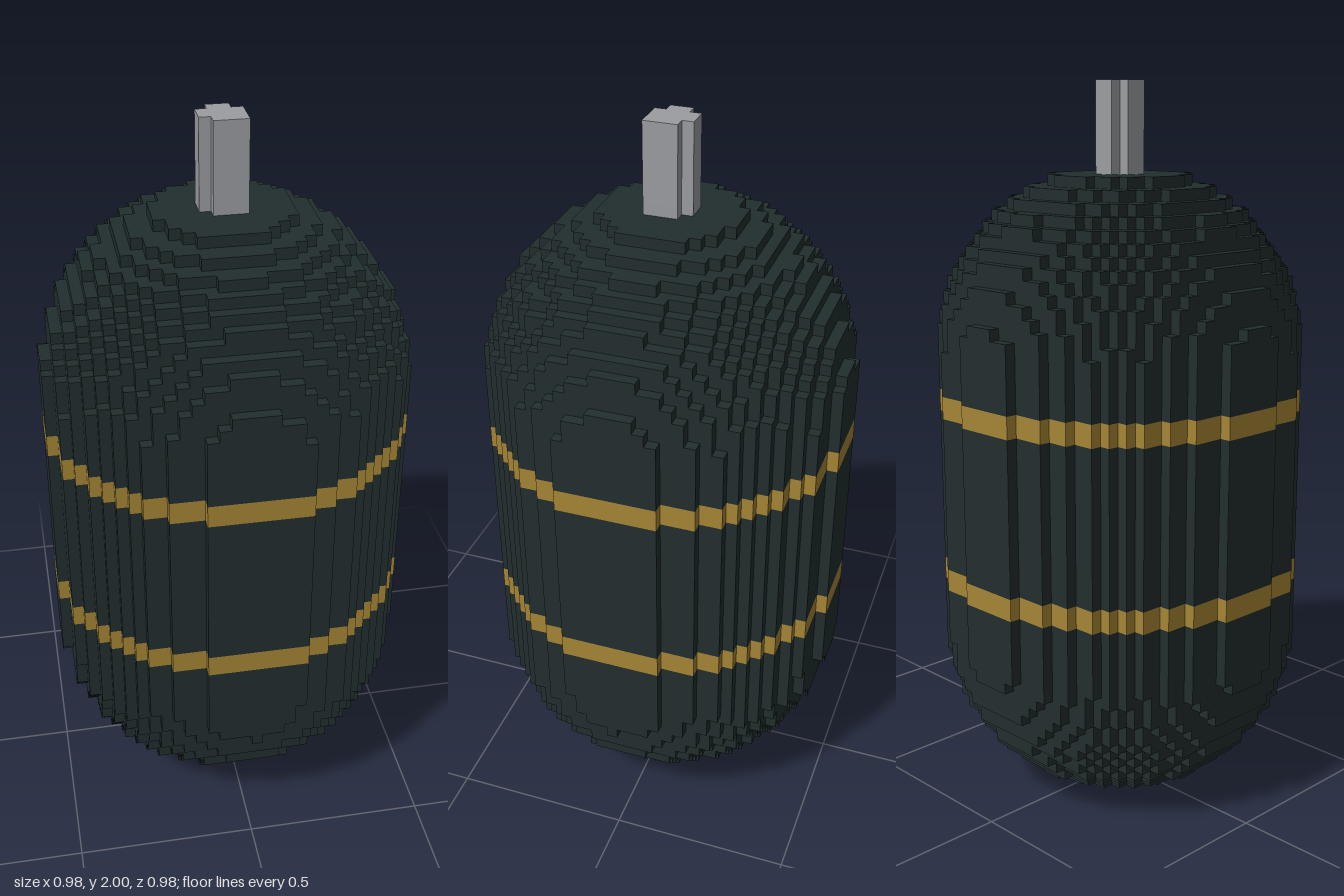
import * as THREE from 'three';

const U = 2 / 65;          // voxel size
const C = 0.15;            // axis offset of the rounded body, in voxels
const BODY_TOP = 57, PEG_TOP = 65;
const LOW = 15.9, HIGH = 41.7, R2 = 255.2; // centres of the domed ends, radius squared

// Which part fills voxel (x, y, z), or null if empty
function partAt(x, y, z) {
  const dx = x + 0.5 - C, dz = z + 0.5 - C, cy = y + 0.5;
  const r2 = dx * dx + dz * dz;
  if (y < 0 || y >= PEG_TOP) return null;
  if (y >= BODY_TOP) return r2 < 4 ? 'topPeg' : null;
  const dy = Math.max(LOW - cy, cy - HIGH, 0);
  if (r2 + dy * dy > R2) return null;
  if (y >= 20 && y < 22) return 'lowerBand';
  if (y >= 36 && y < 38) return 'upperBand';
  return 'capsuleBody';
}

// Six face directions, each with two tangents so that u x v = n
const AXES = [[1, 0, 0], [0, 1, 0], [0, 0, 1]];
const FACES = [];
for (let a = 0; a < 3; a++) {
  const n = AXES[a], u = AXES[(a + 1) % 3], v = AXES[(a + 2) % 3];
  FACES.push({ n, u, v, s: 1 });
  FACES.push({ n: n.map((k) => -k), u: v, v: u, s: 0 });
}

function addFace(data, p, { n, u, v, s }) {
  const start = data.positions.length / 3;
  for (const [a, b] of [[0, 0], [1, 0], [1, 1], [0, 1]]) {
    for (let k = 0; k < 3; k++) {
      data.positions.push((p[k] + s * n[k] + a * u[k] + b * v[k]) * U);
    }
    data.normals.push(...n);
  }
  data.indices.push(start, start + 1, start + 2, start, start + 2, start + 3);
}

export function createModel() {
  const dark = new THREE.MeshStandardMaterial({ color: 0x222e2e });
  const gold = new THREE.MeshStandardMaterial({ color: 0xa68535 });
  const grey = new THREE.MeshStandardMaterial({ color: 0x9b9da1 });
  dark.name = 'dark casing';
  gold.name = 'gold band';
  grey.name = 'grey metal';
  const materials = { capsuleBody: dark, lowerBand: gold, upperBand: gold, topPeg: grey };

  const parts = {};
  for (const name in materials) parts[name] = { positions: [], normals: [], indices: [] };

  // Emit only the exposed voxel faces
  for (let y = 0; y < PEG_TOP; y++) {
    for (let x = -17; x < 17; x++) {
      for (let z = -17; z < 17; z++) {
        const name = partAt(x, y, z);
        if (!name) continue;
        for (const f of FACES) {
          if (!partAt(x + f.n[0], y + f.n[1], z + f.n[2])) addFace(parts[name], [x, y, z], f);
        }
      }
    }
  }

  const group = new THREE.Group();
  group.name = 'bandedCapsule';
  for (const name in parts) {
    const { positions, normals, indices } = parts[name];
    const geometry = new THREE.BufferGeometry();
    geometry.setAttribute('position', new THREE.Float32BufferAttribute(positions, 3));
    geometry.setAttribute('normal', new THREE.Float32BufferAttribute(normals, 3));
    geometry.setIndex(indices);
    const mesh = new THREE.Mesh(geometry, materials[name]);
    mesh.name = name;
    group.add(mesh);
  }
  return group;
}
